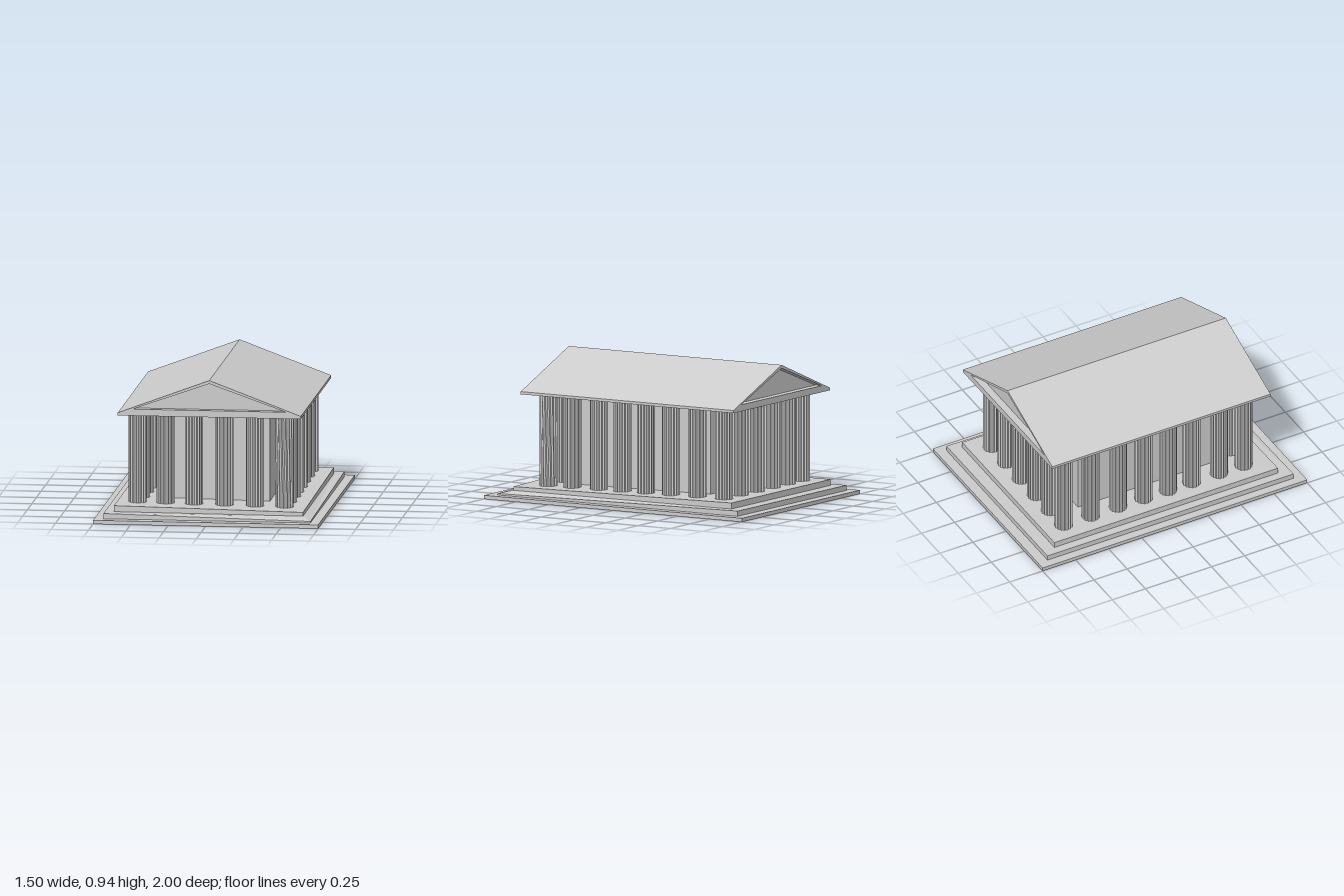
import * as THREE from 'three';

const mat = new THREE.MeshStandardMaterial({ color: 0xcccccc, flatShading: true, side: THREE.DoubleSide });

function add(parent, geometry, name, x = 0, y = 0, z = 0) {
  const mesh = new THREE.Mesh(geometry, mat);
  mesh.name = name;
  mesh.position.set(x, y, z);
  parent.add(mesh);
  return mesh;
}

// Stepped platform: rectangular rings joined in turn, with one sunken front corner
function platformGeometry() {
  // half width, half depth, height, height at the sunken corner
  const rings = [
    [0.75, 1, 0, 0], [0.75, 1, 0.025, 0.025],
    [0.69, 0.93, 0.025, 0.025], [0.69, 0.93, 0.06, 0.035],
    [0.63, 0.845, 0.06, 0.055], [0.63, 0.845, 0.1, 0.08],
  ].map(([w, d, y, low]) => [[-w, y, d], [w, low, d], [w, y, -d], [-w, y, -d]]);
  const pos = [];
  const quad = (a, b, c, d) => pos.push(...a, ...b, ...c, ...a, ...c, ...d);
  for (let r = 0; r < rings.length - 1; r++) {
    for (let i = 0; i < 4; i++) {
      const j = (i + 1) % 4;
      quad(rings[r][i], rings[r][j], rings[r + 1][j], rings[r + 1][i]);
    }
  }
  quad(...rings[rings.length - 1]);
  quad(...[...rings[0]].reverse());
  const g = new THREE.BufferGeometry();
  g.setAttribute('position', new THREE.Float32BufferAttribute(pos, 3));
  g.computeVertexNormals();
  return g;
}

// Height of the platform's top, which dips towards the sunken corner
const floorAt = (x, z) => 0.1 - 0.02 * Math.max(0, (x / 0.63 + z / 0.845) / 2);

// Fluted shaft: a cylinder whose radius is scalloped around its axis
function columnGeometry(height, twist = 0) {
  const flutes = 16, radius = 0.06, depth = 0.008;
  const g = new THREE.CylinderGeometry(radius, radius, height, flutes * 4, 1);
  const p = g.attributes.position;
  for (let i = 0; i < p.count; i++) {
    const x = p.getX(i), z = p.getZ(i), y = p.getY(i);
    const len = Math.hypot(x, z);
    if (len < 1e-6) continue;
    const a = Math.atan2(z, x);
    const r = radius - depth * Math.abs(Math.sin(a * flutes / 2));
    const turned = a + (y > 0 ? twist : 0);
    p.setXYZ(i, r * Math.cos(turned), y, r * Math.sin(turned));
  }
  g.computeVertexNormals();
  return g;
}

function polygon(points, Type = THREE.Shape) {
  return new Type(points.map(([x, y]) => new THREE.Vector2(x, y)));
}

export function createModel() {
  const model = new THREE.Group();
  model.name = 'temple';

  add(model, platformGeometry(), 'steppedPlatform');

  // Inner chamber
  add(model, new THREE.BoxGeometry(0.73, 0.63, 1), 'innerChamber', 0, 0.39, -0.02);

  // Colonnade around all four sides
  const colonnade = new THREE.Group();
  colonnade.name = 'colonnade';
  model.add(colonnade);
  const xs = [-0.494, -0.31, -0.12, 0.085, 0.288, 0.485];
  const zs = [0.66, 0.475, 0.268, 0.088, -0.095, -0.29, -0.495, -0.7];
  const top = 0.705;
  xs.forEach((x, i) => zs.forEach((z, k) => {
    const outer = i === 0 || i === xs.length - 1 || k === 0 || k === zs.length - 1;
    if (!outer) return;
    const bottom = floorAt(x, z) - 0.003;
    const twist = i === xs.length - 1 && k === 0 ? 0.2 : 0;
    add(colonnade, columnGeometry(top - bottom, twist), 'column', x, (top + bottom) / 2, z);
  }));

  // Gabled roof with a triangular opening, filled by a recessed core
  const roof = new THREE.Group();
  roof.name = 'roof';
  model.add(roof);
  const front = 0.8, back = -0.85, recess = 0.05;
  const gable = [[-0.51, 0.742], [0.51, 0.742], [0, 0.922]];
  const outline = polygon([[-0.61, 0.698], [0.61, 0.698], [0.61, 0.716], [0, 0.944], [-0.61, 0.716]]);
  outline.holes.push(polygon([...gable].reverse(), THREE.Path));
  add(roof, new THREE.ExtrudeGeometry(outline, { depth: front - back, bevelEnabled: false }), 'roofShell', 0, 0, back);
  add(roof, new THREE.ExtrudeGeometry(polygon(gable), { depth: front - back - 2 * recess, bevelEnabled: false }),
    'gableWalls', 0, 0, back + recess);

  return model;
}
